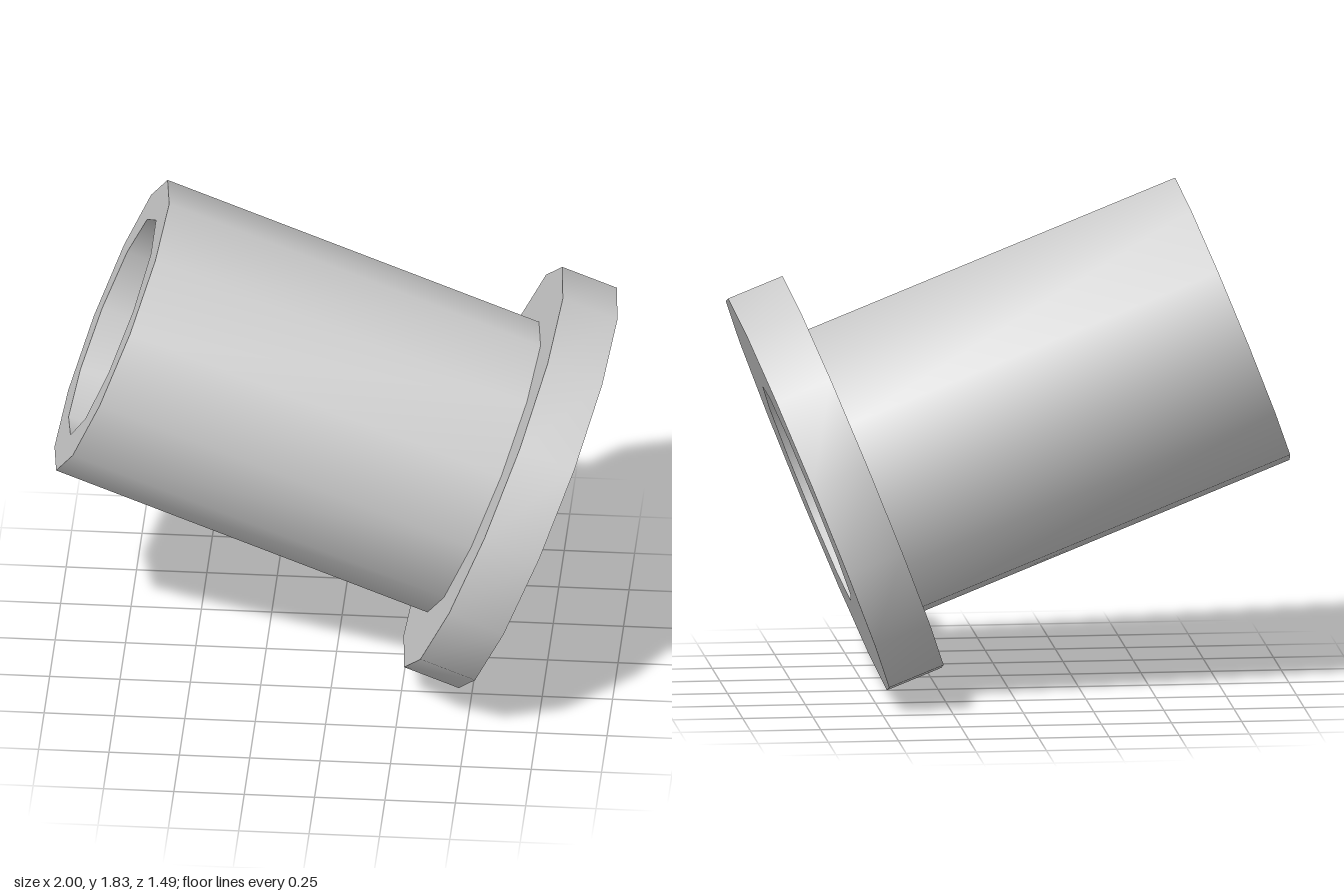
import * as THREE from 'three';
import { toCreasedNormals } from 'three/addons/utils/BufferGeometryUtils.js';

const TILT = 0.3788;          // downward tilt of the bore axis
const BORE = 0.416;
const FLANGE_DEPTH = 0.209;
const BODY_LENGTH = 1.42;

// Regular polygon with its first corner at angle start
function polygon(radius, sides, start) {
  return Array.from({ length: sides }, (_, i) => {
    const a = start + (i / sides) * Math.PI * 2;
    return new THREE.Vector2(radius * Math.cos(a), radius * Math.sin(a));
  });
}

// Hollow prism lying along x, with smooth walls and sharp rims
function sleeve(name, radius, sides, xStart, length) {
  const shape = new THREE.Shape(polygon(radius, sides, Math.PI / 2));
  shape.holes.push(new THREE.Path(polygon(BORE, 11, -Math.PI / 2)));
  const extruded = new THREE.ExtrudeGeometry(shape, { depth: length, bevelEnabled: false });
  extruded.rotateY(Math.PI / 2).translate(xStart, 0, 0);
  const mesh = new THREE.Mesh(
    toCreasedNormals(extruded, 0.7),
    new THREE.MeshStandardMaterial({ color: 0xcccccc })
  );
  mesh.name = name;
  return mesh;
}

export function createModel() {
  const bushing = new THREE.Group();
  bushing.name = 'flangedBushing';

  // Origin is the centre of the flange's outer face
  bushing.add(
    sleeve('flange', 0.765, 14, -FLANGE_DEPTH, FLANGE_DEPTH),
    sleeve('body', 0.551, 12, -FLANGE_DEPTH - BODY_LENGTH, BODY_LENGTH)
  );
  bushing.rotation.z = -TILT;
  bushing.position.set(0.715, 0.713, 0);

  const model = new THREE.Group();
  model.name = 'model';
  model.add(bushing);
  return model;
}
